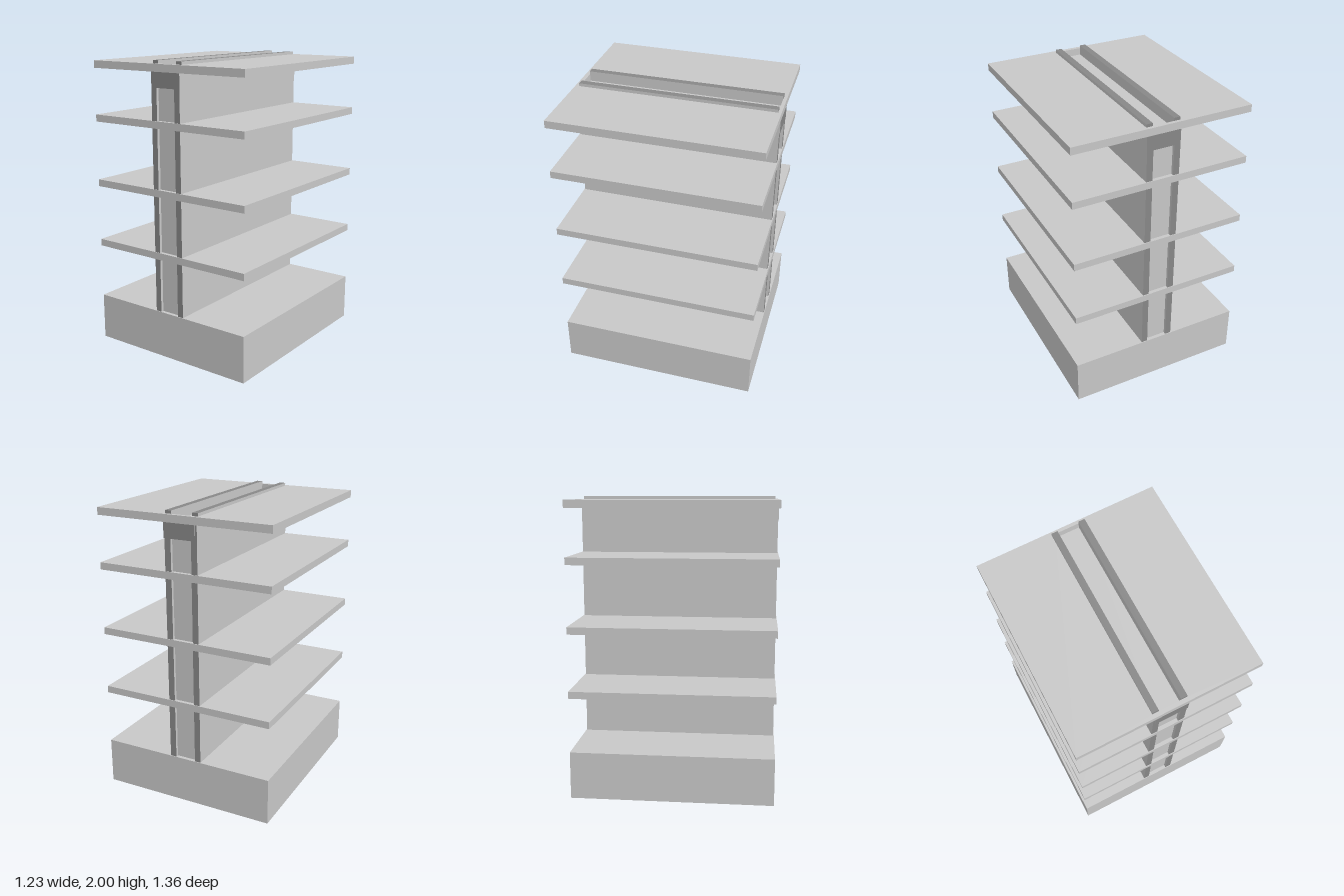
import * as THREE from 'three';

const light = new THREE.MeshStandardMaterial({ color: 0xc8c8c8 });
light.name = 'light panel';
const dark = new THREE.MeshStandardMaterial({ color: 0x888888 });
dark.name = 'dark edge';

// Box from its min and max corners
function block(name, x0, x1, y0, y1, z0, z1, material = light) {
  const geometry = new THREE.BoxGeometry(x1 - x0, y1 - y0, z1 - z0);
  const mesh = new THREE.Mesh(geometry, material);
  mesh.position.set((x0 + x1) / 2, (y0 + y1) / 2, (z0 + z1) / 2);
  mesh.name = name;
  return mesh;
}

export function createModel() {
  const group = new THREE.Group();
  group.name = 'shelfUnit';
  const W = 0.613, D = 0.68;

  // Faces in order: +x, -x, top, bottom, front, back
  const edged = [light, light, dark, light, dark, dark];
  const endsOnly = [light, light, light, light, dark, dark];

  // Plinth
  group.add(block('base', -W, W, 0, 0.32, -D, D));

  // Lower shelves
  for (const y of [0.69, 1.12, 1.57]) {
    group.add(block('shelf', -W, W, y, y + 0.048, -D, D));
  }

  // Top shelf with a long slot above the core
  const outline = new THREE.Shape();
  outline.moveTo(-W, -D).lineTo(W, -D).lineTo(W, D).lineTo(-W, D).closePath();
  const slot = new THREE.Path();
  slot.moveTo(-0.09, -0.652).lineTo(-0.09, 0.657).lineTo(0.1, 0.657).lineTo(0.1, -0.652).closePath();
  outline.holes.push(slot);
  const topGeometry = new THREE.ExtrudeGeometry(outline, { depth: 0.05, bevelEnabled: false });
  topGeometry.rotateX(-Math.PI / 2);
  const topShelf = new THREE.Mesh(topGeometry, light);
  topShelf.position.y = 1.93;
  topShelf.name = 'topShelf';
  group.add(topShelf);

  // Twin upright walls with dark ends, and their raised tops
  for (const [x0, x1] of [[-0.112, -0.07], [0.075, 0.118]]) {
    group.add(block('uprightWall', x0, x1, 0.32, 1.93, -0.675, 0.675, edged));
    group.add(block('wallTop', x0, x1, 1.93, 2, -0.658, 0.653, edged));
  }

  // Recessed core between the walls
  group.add(block('core', -0.07, 0.075, 0.32, 1.84, -0.655, 0.655));

  // Crossbeam below the top shelf
  group.add(block('crossbeam', -0.1, 0.122, 1.83, 1.932, -0.679, 0.679, endsOnly));

  return group;
}
